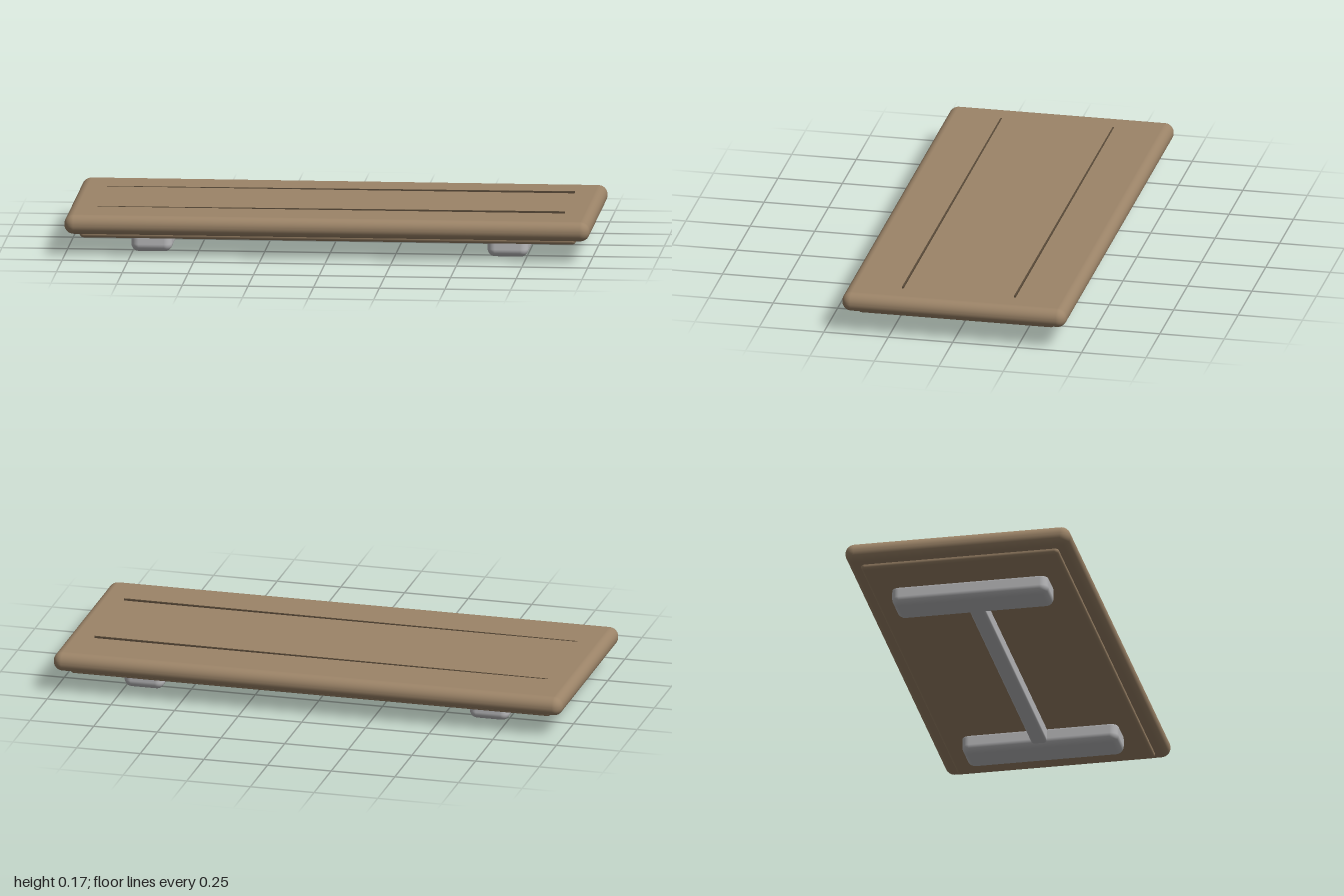
import * as THREE from 'three';
import { RoundedBoxGeometry } from 'three/addons/geometries/RoundedBoxGeometry.js';

const material = (name, color) => {
  const m = new THREE.MeshStandardMaterial({ color });
  m.name = name;
  return m;
};

export function createModel() {
  const model = new THREE.Group();
  model.name = 'lowTable';
  const wood = material('wood', 0x9c8468);
  const darkWood = material('darkWood', 0x5a4b39);
  const metal = material('paleMetal', 0xbababc);

  // Rounded box given by its half width, height range and half depth
  const slab = (name, mat, hx, y0, y1, hz, radius, x = 0) => {
    const geo = new RoundedBoxGeometry(hx * 2, y1 - y0, hz * 2, 6, radius);
    const mesh = new THREE.Mesh(geo, mat);
    mesh.name = name;
    mesh.position.set(x, (y0 + y1) / 2, 0);
    model.add(mesh);
    return mesh;
  };

  // Top with fully rounded rim, and the smaller panel beneath it
  slab('tableTop', wood, 1, 0.085, 0.159, 0.435, 0.036);
  slab('underPanel', wood, 0.945, 0.066, 0.1, 0.382, 0.015);

  // Two feet joined by a stretcher
  for (const side of [-1, 1]) {
    slab(side > 0 ? 'leftFoot' : 'rightFoot', metal, 0.078, 0, 0.09, 0.302, 0.03, side * 0.678);
  }
  slab('stretcher', metal, 0.63, 0.013, 0.075, 0.031, 0.012);

  // Thin seams along the top, rising slightly towards +x
  for (const z of [-0.218, 0.217]) {
    const seam = new THREE.Mesh(new THREE.BoxGeometry(1.78, 0.007, 0.006), darkWood);
    seam.name = z > 0 ? 'frontSeam' : 'backSeam';
    seam.position.set(0, 0.1595, z);
    seam.rotation.z = 0.0035;
    model.add(seam);
  }
  return model;
}
